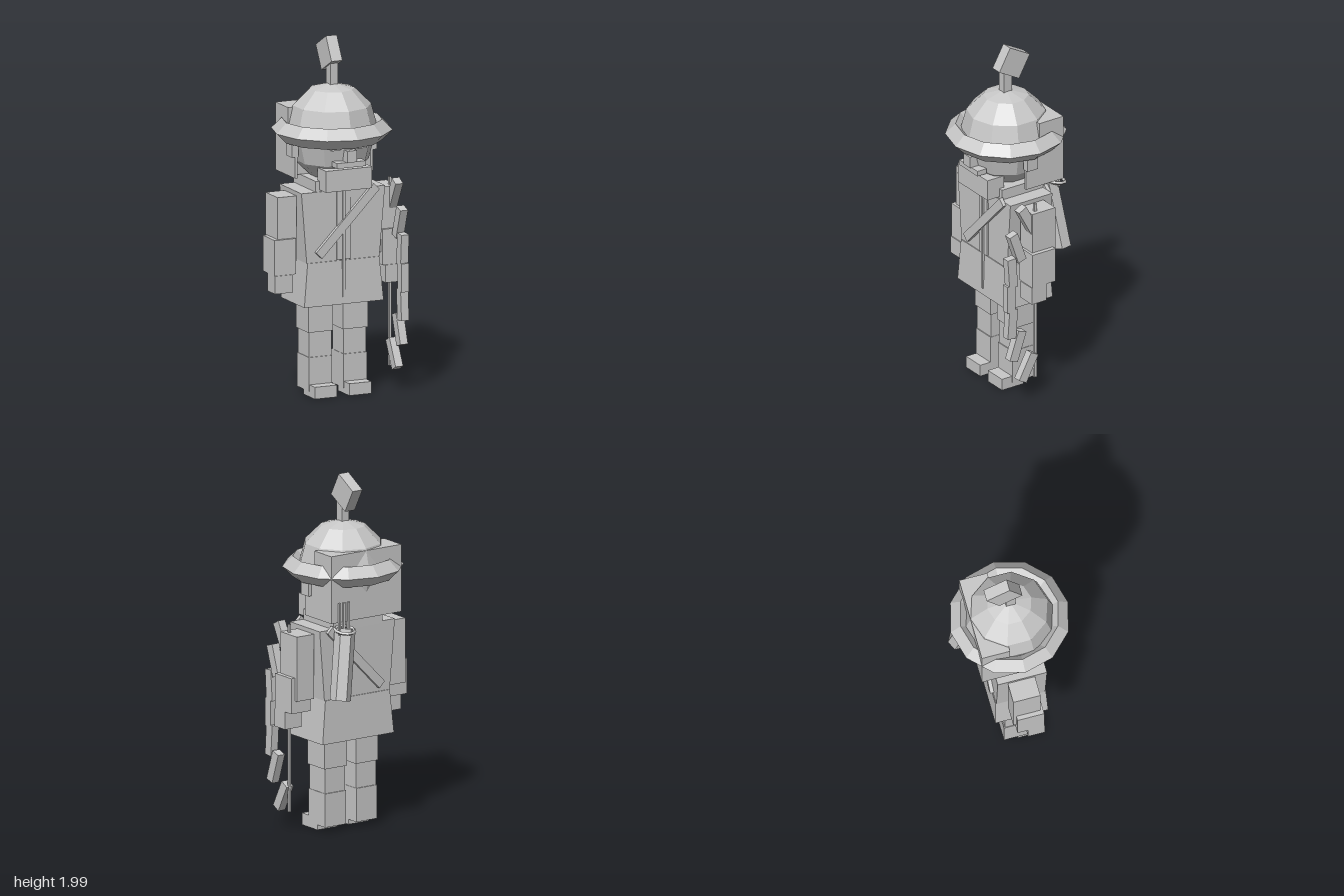
import * as THREE from 'three';

export function createModel() {
  const model = new THREE.Group();
  const grey = new THREE.MeshStandardMaterial({ color: 0xc8c8c8, flatShading: true });
  grey.name = 'plain grey';

  const add = (name, geometry, x, y, z) => {
    const mesh = new THREE.Mesh(geometry, grey);
    mesh.name = name;
    mesh.position.set(x, y, z);
    model.add(mesh);
    return mesh;
  };
  // box given by its lower and upper bounds
  const box = (name, x0, x1, y0, y1, z0, z1) =>
    add(name, new THREE.BoxGeometry(x1 - x0, y1 - y0, z1 - z0), (x0 + x1) / 2, (y0 + y1) / 2, (z0 + z1) / 2);
  // box with a different half width and half depth at the bottom and the top
  const taper = (name, y0, y1, bottom, top, z) => {
    const g = new THREE.BoxGeometry(2, y1 - y0, 2);
    const p = g.attributes.position;
    for (let i = 0; i < p.count; i++) {
      const [w, d] = p.getY(i) > 0 ? top : bottom;
      p.setX(i, p.getX(i) * w);
      p.setZ(i, p.getZ(i) * d);
    }
    g.computeVertexNormals();
    return add(name, g, 0, (y0 + y1) / 2, z);
  };
  // the same box on both sides
  const pair = (name, x0, x1, ...rest) => {
    box('left' + name, x0, x1, ...rest);
    box('right' + name, -x1, -x0, ...rest);
  };

  // legs and boots
  pair('Thigh', 0.03, 0.18, 0.36, 0.56, -0.08, 0.08);
  pair('Shin', 0.037, 0.172, 0.2, 0.36, -0.072, 0.072);
  pair('Boot', 0.035, 0.175, 0.03, 0.22, -0.078, 0.077);
  pair('Foot', 0.037, 0.172, 0, 0.067, 0, 0.145);

  // coat
  taper('coatSkirt', 0.52, 0.765, [0.24, 0.15], [0.217, 0.143], 0.005);
  taper('torso', 0.765, 1.16, [0.22, 0.138], [0.253, 0.14], 0.005);
  box('placketLeft', 0.005, 0.04, 0.77, 1.165, 0.13, 0.152);
  box('placketRight', -0.04, -0.005, 0.77, 1.165, 0.13, 0.152);
  box('coatSeam', -0.008, 0.008, 0.56, 1.18, 0.13, 0.16);
  box('neckCollar', -0.165, 0.165, 1.15, 1.22, -0.14, 0.14);
  box('scarf', -0.14, 0.14, 1.17, 1.29, 0.11, 0.22);

  // diagonal strap across chest and back
  for (const [name, z] of [['chestStrap', 0.154], ['backStrap', -0.144]]) {
    add(name, new THREE.BoxGeometry(0.05, 0.5, 0.022), 0.02, 0.985, z).rotation.z = -0.77;
  }

  // arms
  pair('UpperArm', 0.25, 0.365, 0.77, 1.135, -0.077, 0.077);
  pair('Forearm', 0.262, 0.39, 0.7, 0.9, -0.06, 0.092);
  pair('Hand', 0.28, 0.39, 0.6, 0.7, 0, 0.097);

  // head and face
  add('head', new THREE.SphereGeometry(0.235, 10, 6), 0, 1.42, 0).rotation.y = Math.PI / 2;
  pair('Ear', 0.22, 0.258, 1.34, 1.425, -0.035, 0.035);
  pair('Eye', 0.055, 0.105, 1.4, 1.425, 0.18, 0.225);
  box('nose', -0.03, 0.03, 1.335, 1.4, 0.2, 0.26);
  box('moustache', -0.088, 0.088, 1.305, 1.335, 0.19, 0.25);

  // hair block behind the head
  box('hairBack', -0.236, 0.236, 1.22, 1.6, -0.22, -0.06);
  pair('HairSide', 0.22, 0.236, 1.22, 1.5, -0.06, 0.028);

  // helmet dome, faceted brim and crest
  add('helmetDome', new THREE.SphereGeometry(0.25, 10, 3, 0, Math.PI * 2, 0, Math.PI / 2), 0, 1.485, 0).rotation.y = Math.PI / 2;
  add('helmetBrim', new THREE.TorusGeometry(0.276, 0.058, 4, 12), 0, 1.473, 0).rotation.x = Math.PI / 2;
  box('crestStem', -0.023, 0.023, 1.71, 1.86, -0.024, 0.028);
  add('crestBlock', new THREE.BoxGeometry(0.066, 0.148, 0.15), 0, 1.893, -0.036).rotation.x = -0.51;

  // quiver leaning on the back, with its rim and arrows
  const top = new THREE.Vector3(0.125, 1.175, -0.195);
  const bottom = new THREE.Vector3(0.19, 0.785, -0.24);
  const axis = top.clone().sub(bottom);
  const mid = top.clone().add(bottom).multiplyScalar(0.5);
  const quiver = add('quiver', new THREE.CylinderGeometry(0.058, 0.058, axis.length(), 6), mid.x, mid.y, mid.z);
  quiver.quaternion.setFromUnitVectors(new THREE.Vector3(0, 1, 0), axis.normalize());
  add('quiverRim', new THREE.TorusGeometry(0.055, 0.01, 4, 10), 0.15, 1.175, -0.225).rotation.x = Math.PI / 2 - 0.2;
  for (let i = 0; i < 3; i++) {
    const x = 0.125 + i * 0.03;
    box('arrow' + (i + 1), x - 0.006, x + 0.006, 1.15, 1.33, -0.232, -0.218);
  }

  // bow of stepped segments, mirrored above and below the grip
  const segments = [[0.155, 0.2, 0.175, 0.07], [0.3, 0.165, 0.178, 0.33], [0.45, 0.094, 0.17, 0.49]];
  box('bowGrip', 0.311, 0.357, 0.57, 0.73, 0.183, 0.235);
  segments.forEach(([dy, z, length, tilt], i) => {
    for (const s of [1, -1]) {
      const g = new THREE.BoxGeometry(0.046, length, 0.055);
      add((s > 0 ? 'upper' : 'lower') + 'BowLimb' + (i + 1), g, 0.334, 0.65 + s * dy, z).rotation.x = s * tilt;
    }
  });
  box('bowString', 0.327, 0.341, 0.12, 1.18, 0.03, 0.045);

  return model;
}
